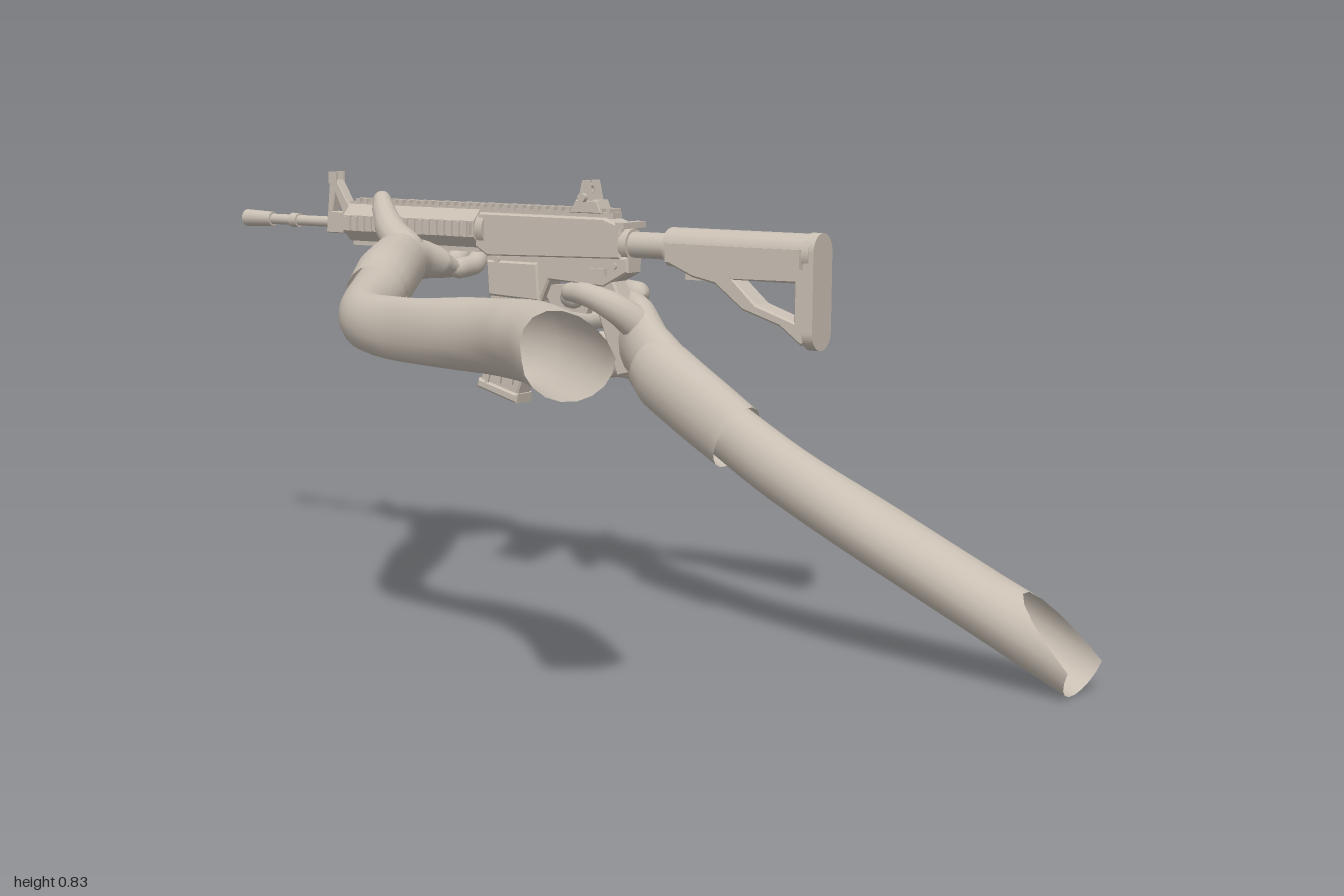
import * as THREE from 'three';

const clay = new THREE.MeshStandardMaterial({ color: 0xc9bfb3, side: THREE.DoubleSide });
clay.name = 'warm grey clay';

function add(parent, name, geometry, x = 0, y = 0, z = 0) {
  const mesh = new THREE.Mesh(geometry, clay);
  mesh.name = name;
  mesh.position.set(x, y, z);
  parent.add(mesh);
  return mesh;
}

// Smooth tube through stations [x, y, z, width radius, height radius].
// "cut" bevels the upper side of the first ring; "cap" rounds the ends.
function limb(stations, { cut = 0, cap = false, steps = 5, sides = 18, ref = [0, 1, 0] } = {}) {
  const curve = new THREE.CatmullRomCurve3(stations.map(s => new THREE.Vector3(s[0], s[1], s[2])));
  const up = new THREE.Vector3(...ref), count = (stations.length - 1) * steps;
  const rings = [];
  const capRings = (t, rx, ry, dir) => [30, 60, 89].map(d => {
    const a = THREE.MathUtils.degToRad(d);
    return { t, rx: rx * Math.cos(a), ry: ry * Math.cos(a), push: dir * Math.min(rx, ry) * Math.sin(a) };
  });
  for (let i = 0; i <= count; i++) {
    const f = i / steps, k = Math.min(Math.floor(f), stations.length - 2), m = f - k;
    const mix = n => THREE.MathUtils.lerp(stations[k][n], stations[k + 1][n], m * m * (3 - 2 * m));
    rings.push({ t: i / count, rx: mix(3), ry: mix(4), push: 0 });
  }
  if (cap) {
    const a = rings[0], b = rings[count];
    rings.unshift(...capRings(0, a.rx, a.ry, -1).reverse());
    rings.push(...capRings(1, b.rx, b.ry, 1));
  }
  const pos = [], index = [];
  rings.forEach((r, i) => {
    const c = curve.getPoint(r.t), T = curve.getTangent(r.t);
    const S = new THREE.Vector3().crossVectors(T, up).normalize();
    const V = new THREE.Vector3().crossVectors(S, T);
    for (let j = 0; j < sides; j++) {
      const a = j / sides * Math.PI * 2;
      const shift = r.push + cut * Math.max(0, Math.sin(a)) * Math.max(0, 1 - 4 * r.t);
      const p = c.clone().addScaledVector(S, Math.cos(a) * r.rx)
        .addScaledVector(V, Math.sin(a) * r.ry).addScaledVector(T, shift);
      pos.push(p.x, p.y, p.z);
      if (i < rings.length - 1) {
        const n = (j + 1) % sides, o = i * sides, q = o + sides;
        index.push(o + j, q + j, o + n, o + n, q + j, q + n);
      }
    }
  });
  const g = new THREE.BufferGeometry();
  g.setAttribute('position', new THREE.Float32BufferAttribute(pos, 3));
  g.setIndex(index);
  g.computeVertexNormals();
  return g;
}

// Side profile in [z, y], extruded across x and centred, with optional holes.
function profile(points, width, holes = [], bevel = 0.004) {
  const toV = list => list.map(p => new THREE.Vector2(p[0], p[1]));
  const shape = new THREE.Shape(toV(points));
  holes.forEach(h => shape.holes.push(new THREE.Path(toV(h))));
  const depth = width - 2 * bevel;
  const g = new THREE.ExtrudeGeometry(shape, {
    depth, bevelEnabled: bevel > 0, bevelThickness: bevel, bevelSize: bevel, bevelOffset: -bevel, bevelSegments: 1,
  });
  return g.translate(0, 0, -depth / 2).rotateY(-Math.PI / 2);
}

const box = (w, h, d) => new THREE.BoxGeometry(w, h, d);
const rod = (r, length, sides = 16, r2 = r) => new THREE.CylinderGeometry(r, r2, length, sides).rotateX(-Math.PI / 2);

function buildRifle() {
  const g = new THREE.Group();
  g.name = 'rifle';
  g.position.x = 0.387;

  // Stock with rounded top, open strut and butt pad
  add(g, 'stock', profile([[0.405, 0.55], [0.405, 0.735], [0.09, 0.735], [0.09, 0.68], [0.15, 0.655], [0.2, 0.645],
    [0.26, 0.60], [0.34, 0.575], [0.385, 0.542]], 0.05,
    [[[0.37, 0.585], [0.37, 0.655], [0.24, 0.655], [0.29, 0.612]]]));
  add(g, 'stockTube', rod(0.037, 0.315), 0, 0.708, 0.2475);
  for (const s of [-1, 1]) add(g, 'stockSideRib', box(0.012, 0.035, 0.29), s * 0.035, 0.7, 0.245);
  const pad = new THREE.Shape();
  pad.absarc(0, 0.713, 0.034, 0, Math.PI);
  pad.absarc(0, 0.567, 0.034, Math.PI, Math.PI * 2);
  add(g, 'buttPad', new THREE.ExtrudeGeometry(pad, { depth: 0.022, bevelEnabled: false }), 0, 0, 0.393);
  add(g, 'stockLever', box(0.03, 0.012, 0.08), 0, 0.655, 0.17);
  add(g, 'bufferTube', rod(0.025, 0.13), 0, 0.708, 0.04);
  add(g, 'tubeNut', rod(0.031, 0.018), 0, 0.708, -0.005);

  // Receivers
  add(g, 'upperReceiver', profile([[-0.01, 0.68], [-0.01, 0.745], [-0.05, 0.758], [-0.35, 0.758], [-0.36, 0.74],
    [-0.36, 0.69], [-0.33, 0.672]], 0.055));
  add(g, 'lowerReceiver', profile([[0.005, 0.685], [0.005, 0.655], [-0.05, 0.625], [-0.18, 0.632], [-0.2, 0.59],
    [-0.325, 0.595], [-0.335, 0.685]], 0.05));
  add(g, 'magazineWell', profile([[-0.2, 0.59], [-0.205, 0.665], [-0.33, 0.665], [-0.325, 0.595]], 0.06));
  add(g, 'ejectionCover', box(0.008, 0.032, 0.09), 0.028, 0.708, -0.24);
  add(g, 'forwardAssist', rod(0.013, 0.045), 0.034, 0.712, -0.11);
  add(g, 'chargingHandle', box(0.075, 0.012, 0.02), 0, 0.745, -0.005);
  for (const s of [-1, 1]) {
    add(g, 'selector', box(0.01, 0.012, 0.035), s * 0.027, 0.655, -0.06);
    add(g, 'receiverPin', new THREE.CylinderGeometry(0.007, 0.007, 0.06, 10).rotateZ(Math.PI / 2), 0, 0.667, s * 0.14 - 0.165);
  }

  // Grip, trigger and guard
  add(g, 'pistolGrip', profile([[-0.03, 0.64], [0.005, 0.57], [0.04, 0.47], [-0.02, 0.455], [-0.06, 0.56], [-0.09, 0.635]], 0.045));
  add(g, 'trigger', profile([[-0.12, 0.635], [-0.13, 0.635], [-0.14, 0.59], [-0.13, 0.595]], 0.012, [], 0));
  add(g, 'triggerGuard', profile([[-0.08, 0.63], [-0.1, 0.57], [-0.18, 0.575], [-0.21, 0.62]], 0.018,
    [[[-0.095, 0.622], [-0.11, 0.58], [-0.175, 0.585], [-0.19, 0.622]]], 0));

  // Curved magazine with raised ribs
  add(g, 'magazine', profile([[-0.208, 0.62], [-0.325, 0.62], [-0.33, 0.54], [-0.352, 0.415], [-0.262, 0.39], [-0.225, 0.5]], 0.045));
  add(g, 'magazineBase', profile([[-0.255, 0.402], [-0.258, 0.383], [-0.357, 0.41], [-0.353, 0.428]], 0.055));
  for (const k of [0, 1, 2]) {
    const z = -0.238 - k * 0.03;
    add(g, 'magazineRib', profile([[z, 0.585], [z - 0.008, 0.585], [z - 0.013, 0.52], [z - 0.038, 0.42],
      [z - 0.03, 0.42], [z - 0.005, 0.52]], 0.054, [], 0));
  }

  // Handguard with four rails
  add(g, 'handguard', new THREE.CylinderGeometry(0.041, 0.041, 0.34, 8).rotateY(Math.PI / 8).rotateX(Math.PI / 2).toNonIndexed(), 0, 0.725, -0.525).geometry.computeVertexNormals();
  add(g, 'barrelNut', rod(0.036, 0.03), 0, 0.725, -0.352);
  for (const s of [-1, 1]) add(g, 'sideRail', box(0.012, 0.024, 0.33), s * 0.041, 0.725, -0.525);
  add(g, 'bottomRail', box(0.024, 0.012, 0.33), 0, 0.684, -0.525);
  add(g, 'topRail', box(0.03, 0.012, 0.66), 0, 0.762, -0.365);
  for (let i = 0; i < 34; i++) {
    const z = -0.045 - i * 0.019;
    add(g, 'railTooth', box(0.036, 0.01, 0.01), 0, 0.77, z);
    if (z < -0.36) for (const s of [-1, 1]) add(g, 'sideRailTooth', box(0.008, 0.03, 0.01), s * 0.047, 0.725, z);
  }

  // Barrel, gas block and muzzle
  add(g, 'barrel', rod(0.011, 0.27), 0, 0.722, -0.81);
  add(g, 'muzzle', rod(0.018, 0.075, 16, 0.015), 0, 0.722, -0.9625);
  add(g, 'barrelCollar', rod(0.015, 0.02), 0, 0.722, -0.86);

  // Front sight tower
  add(g, 'frontSight', profile([[-0.69, 0.74], [-0.735, 0.81], [-0.755, 0.81], [-0.765, 0.70], [-0.72, 0.70]], 0.024,
    [[[-0.72, 0.745], [-0.74, 0.785], [-0.748, 0.745]]], 0.002));
  for (const s of [-1, 1]) add(g, 'frontSightEar', box(0.005, 0.025, 0.02), s * 0.012, 0.815, -0.745);
  add(g, 'frontPost', box(0.004, 0.02, 0.004), 0, 0.815, -0.745);

  // Rear sight
  add(g, 'rearSightBase', profile([[-0.06, 0.765], [-0.07, 0.79], [-0.12, 0.79], [-0.135, 0.765]], 0.04, [], 0.002));
  for (const s of [-1, 1]) {
    add(g, 'rearSightEar', profile([[-0.08, 0.785], [-0.09, 0.828], [-0.105, 0.828], [-0.115, 0.785]], 0.006, [], 0), s * 0.016);
    add(g, 'rearSightKnob', new THREE.CylinderGeometry(0.009, 0.009, 0.012, 10).rotateZ(Math.PI / 2), s * 0.024, 0.795, -0.1);
  }
  add(g, 'rearAperture', new THREE.TorusGeometry(0.008, 0.003, 6, 14), 0, 0.81, -0.098);
  return g;
}

function buildRightArm() {
  const g = new THREE.Group();
  g.name = 'rightArm';
  add(g, 'rightSleeve', limb([[0.276, 0.055, 0.992, 0.06, 0.058], [0.288, 0.137, 0.8, 0.063, 0.056], [0.289, 0.228, 0.6, 0.064, 0.056],
    [0.296, 0.318, 0.4, 0.05, 0.056], [0.312, 0.395, 0.25, 0.046, 0.055]], { cut: 0.15 }));
  add(g, 'rightCuff', limb([[0.306, 0.373, 0.288, 0.053, 0.066], [0.32, 0.42, 0.2, 0.055, 0.068], [0.338, 0.468, 0.11, 0.058, 0.068],
    [0.35, 0.49, 0.07, 0.05, 0.06]]));
  add(g, 'rightPalm', limb([[0.338, 0.468, 0.12, 0.05, 0.06], [0.362, 0.505, 0.06, 0.045, 0.062], [0.405, 0.53, 0.0, 0.042, 0.082],
    [0.438, 0.538, -0.05, 0.032, 0.085]], { cap: true }));
  // Fingers curl forward round the grip
  for (let k = 0; k < 4; k++) {
    const y = 0.61 - k * 0.05, r = 0.024 - k * 0.0012, e = k === 3 ? 0.02 : 0;
    add(g, 'rightFinger', limb([[0.435, y, -0.02, r, r], [0.46, y, -0.085, r, r], [0.442, y - 0.006, -0.14 + e, r, r],
      [0.39, y - 0.01, -0.145 + e, r * 0.9, r * 0.9], [0.358, y - 0.01, -0.115 + e, r * 0.8, r * 0.8]], { cap: true, sides: 12 }));
  }
  add(g, 'rightThumb', limb([[0.375, 0.55, 0.035, 0.032, 0.034], [0.338, 0.59, -0.005, 0.027, 0.028], [0.328, 0.612, -0.06, 0.023, 0.023],
    [0.338, 0.615, -0.11, 0.019, 0.019]], { cap: true, sides: 12 }));
  return g;
}

function buildLeftArm() {
  const g = new THREE.Group();
  g.name = 'leftArm';
  add(g, 'leftSleeve', limb([[-0.443, 0.6, 0.45, 0.074, 0.066], [-0.285, 0.6, 0.265, 0.066, 0.068], [-0.22, 0.595, 0.1, 0.046, 0.064],
    [-0.196, 0.59, -0.08, 0.031, 0.057], [-0.15, 0.595, -0.21, 0.045, 0.053], [0.025, 0.622, -0.33, 0.053, 0.05],
    [0.08, 0.635, -0.362, 0.05, 0.05]], { cut: 0.1 }));
  add(g, 'leftCuff', limb([[0.02, 0.625, -0.327, 0.058, 0.054], [0.11, 0.645, -0.38, 0.06, 0.062], [0.215, 0.662, -0.437, 0.055, 0.06],
    [0.25, 0.667, -0.455, 0.046, 0.045]]));
  add(g, 'leftPalm', limb([[0.2, 0.662, -0.43, 0.046, 0.046], [0.265, 0.668, -0.462, 0.05, 0.044], [0.32, 0.66, -0.49, 0.085, 0.04],
    [0.385, 0.642, -0.5, 0.095, 0.024], [0.425, 0.642, -0.5, 0.09, 0.02]], { cap: true }));
  // Fingers wrap up the far side of the handguard
  for (let k = 0; k < 4; k++) {
    const z = -0.42 - k * 0.052, r = 0.021 + (k > 0 ? 0.002 : 0), out = k === 1 || k === 2 ? 0.008 : 0;
    add(g, 'leftFinger', limb([[0.385, 0.642, z, r, r], [0.44, 0.65, z, r, r], [0.468 + out, 0.69, z - 0.006, r, r],
      [0.456, 0.73, z - 0.014, r * 0.92, r * 0.92], [0.436, 0.75, z - 0.02, r * 0.8, r * 0.8]],
    { cap: true, sides: 12, ref: [0, 0, 1] }));
  }
  add(g, 'leftThumb', limb([[0.27, 0.685, -0.46, 0.038, 0.034], [0.295, 0.718, -0.52, 0.031, 0.03], [0.32, 0.752, -0.56, 0.024, 0.024],
    [0.343, 0.775, -0.585, 0.019, 0.019]], { cap: true, sides: 12 }));
  return g;
}

export function createModel() {
  const model = new THREE.Group();
  model.name = 'armsHoldingRifle';
  model.add(buildRifle(), buildRightArm(), buildLeftArm());
  return model;
}
